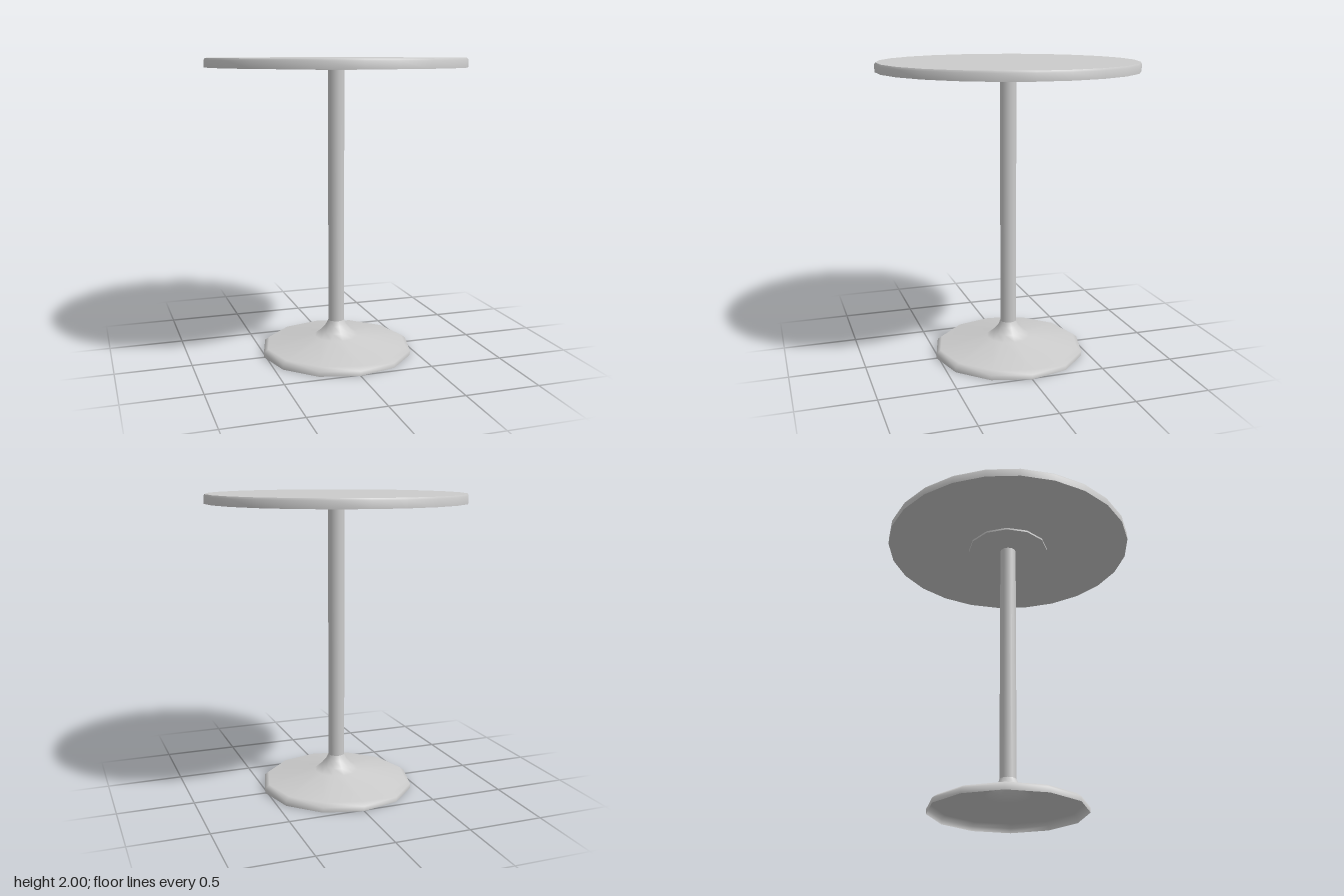
import * as THREE from 'three';
import { toCreasedNormals } from 'three/addons/utils/BufferGeometryUtils.js';

const material = new THREE.MeshStandardMaterial({ color: 0xcccccc });
const shellMaterial = new THREE.MeshStandardMaterial({ color: 0xcccccc, side: THREE.DoubleSide });

// Turned part from [radius, height] pairs, listed bottom to top
function turned(name, profile, sides, phase = 0, crease = 0) {
  const points = profile.map(([r, y]) => new THREE.Vector2(r, y));
  let geometry = new THREE.LatheGeometry(points, sides, phase);
  if (crease) geometry = toCreasedNormals(geometry, crease);
  const mesh = new THREE.Mesh(geometry, material);
  mesh.name = name;
  return mesh;
}

export function createModel() {
  const table = new THREE.Group();
  table.name = 'pedestalTable';

  // Round top with a small bevel along its upper edge
  const top = turned('tableTop',
    [[0, 1.94], [0.857, 1.94], [0.857, 1.987], [0.85, 2], [0, 2]],
    24, Math.PI / 24, 0.7);

  // Thin mounting plate under the top
  const plate = turned('mountingPlate',
    [[0, 1.927], [0.283, 1.927], [0.283, 1.94]], 12, 0, 0.7);

  // Column
  const column = turned('column', [[0.055, 0.22], [0.055, 1.927]], 12);

  // Hollow foot, open underneath, flaring up into the column
  const foot = turned('foot', [
    [0.515, 0], [0.515, 0.032], [0.485, 0.055], [0.15, 0.11],
    [0.105, 0.145], [0.07, 0.185], [0.055, 0.22],
  ], 12);
  foot.material = shellMaterial;

  table.add(top, plate, column, foot);
  return table;
}
